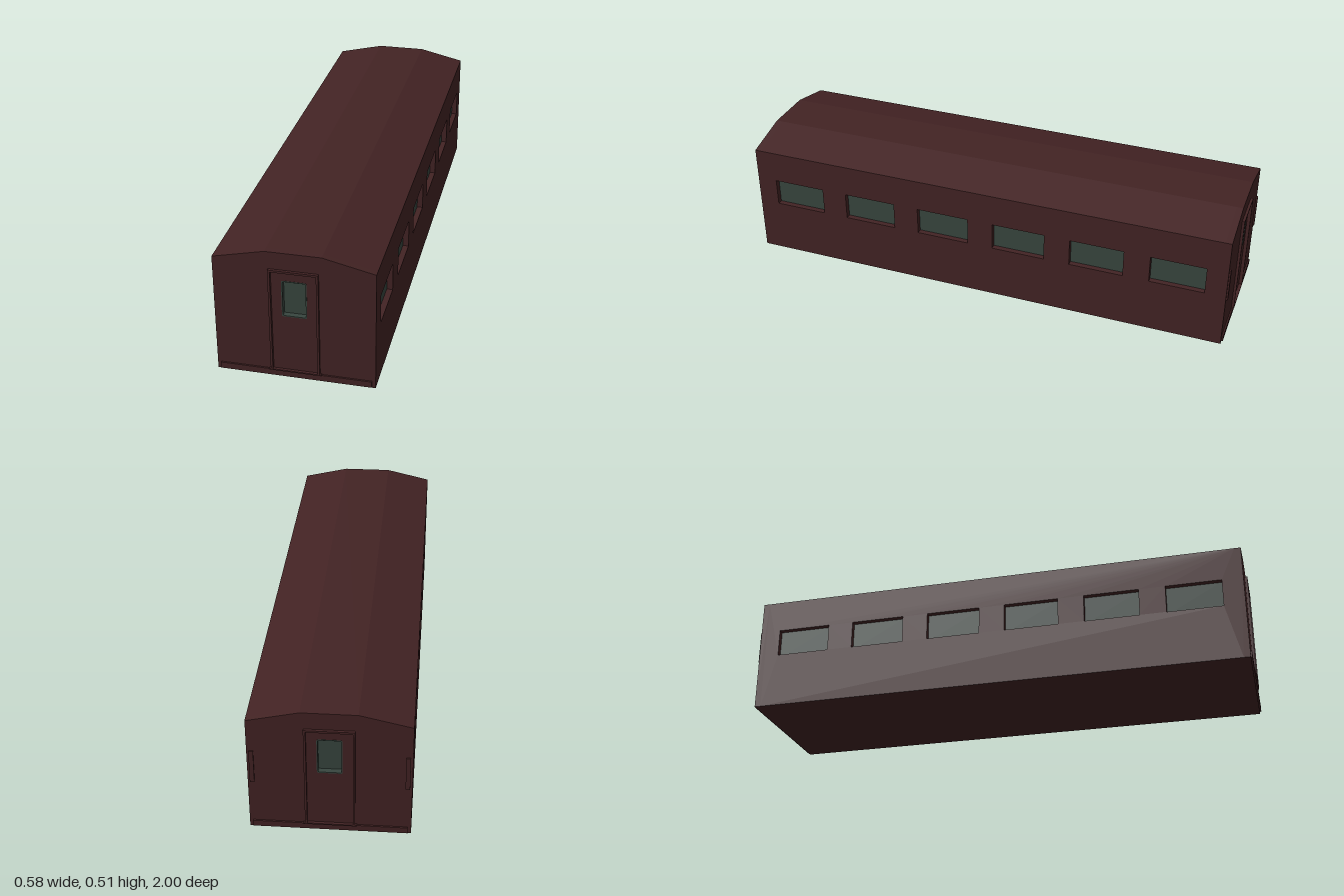
import * as THREE from 'three';

const paint = new THREE.MeshStandardMaterial({ name: 'maroon paint', color: 0x432324 });
const glass = new THREE.MeshStandardMaterial({ name: 'green glass', color: 0x38463f });

const W = 0.288, EAVE = 0.463, TOP = 0.506, L = 0.99, T = 0.025;

function mesh(name, geometry, material, parent, x = 0, y = 0, z = 0) {
  const m = new THREE.Mesh(geometry, material);
  m.name = name;
  m.position.set(x, y, z);
  parent.add(m);
  return m;
}

function polygon(points) {
  return new THREE.Shape(points.map(([x, y]) => new THREE.Vector2(x, y)));
}

function rect(x0, y0, x1, y1) {
  return polygon([[x0, y0], [x1, y0], [x1, y1], [x0, y1]]);
}

function roundRect(w, y0, y1, r) {
  const s = new THREE.Shape();
  s.moveTo(-w + r, y0);
  s.lineTo(w - r, y0).quadraticCurveTo(w, y0, w, y0 + r);
  s.lineTo(w, y1 - r).quadraticCurveTo(w, y1, w - r, y1);
  s.lineTo(-w + r, y1).quadraticCurveTo(-w, y1, -w, y1 - r);
  s.lineTo(-w, y0 + r).quadraticCurveTo(-w, y0, -w + r, y0);
  return s;
}

function extrude(shape, depth, holes = []) {
  shape.holes.push(...holes);
  return new THREE.ExtrudeGeometry(shape, { depth, bevelEnabled: false, curveSegments: 4 });
}

// Long wall with six recessed windows
function sideWall(side) {
  const g = new THREE.Group();
  g.name = side > 0 ? 'leftSide' : 'rightSide';
  const centres = [-0.8, -0.48, -0.16, 0.16, 0.48, 0.8];
  const holes = centres.map(c => rect(c - 0.108, 0.222, c + 0.108, 0.333));
  const wall = mesh('sideWall', extrude(rect(-L + T, 0, L - T, EAVE), T, holes), paint, g, -T);
  wall.rotation.y = Math.PI / 2;
  for (const c of centres) {
    mesh('sideWindow', new THREE.BoxGeometry(0.006, 0.125, 0.23), glass, g, -T, 0.2775, c);
  }
  g.position.x = side * W;
  if (side < 0) g.rotation.y = Math.PI;
  return g;
}

// End wall with door, door frame, sill and lower beam
function endWall(name) {
  const g = new THREE.Group();
  g.name = name;
  const profile = polygon([[-W, 0], [W, 0], [W, EAVE], [0.1, TOP], [-0.1, TOP], [-W, EAVE]]);
  mesh('endPanel', extrude(profile, T, [rect(-0.081, 0.03, 0.081, 0.432)]), paint, g, 0, 0, L - T);

  mesh('door', extrude(rect(-0.081, 0.03, 0.081, 0.432), T, [roundRect(0.045, 0.252, 0.396, 0.008)]),
    paint, g, 0, 0, L - T - 0.003);
  mesh('doorWindowRim', extrude(roundRect(0.045, 0.252, 0.396, 0.008), T + 0.001,
    [roundRect(0.041, 0.256, 0.392, 0.006)]), glass, g, 0, 0, L - T - 0.003);
  mesh('doorWindow', new THREE.BoxGeometry(0.086, 0.14, 0.005), glass, g, 0, 0.324, L - T);

  mesh('doorFrame', extrude(rect(-0.089, 0.03, 0.089, 0.44), 0.01,
    [rect(-0.081, 0.029, 0.081, 0.432)].map(() => rect(-0.081, 0.0305, 0.081, 0.432))), paint, g, 0, 0, L);
  mesh('doorSill', new THREE.BoxGeometry(0.19, 0.005, 0.01), paint, g, 0, 0.0295, L + 0.005);
  mesh('endBeam', new THREE.BoxGeometry(0.55, 0.024, 0.006), paint, g, 0, 0.016, L + 0.003);
  return g;
}

export function createModel() {
  const model = new THREE.Group();
  model.name = 'railwayCarriage';

  model.add(sideWall(1), sideWall(-1));
  const front = endWall('frontEnd');
  const back = endWall('backEnd');
  back.rotation.y = Math.PI;
  model.add(front, back);

  // Grab handles on the back corners only
  for (const s of [-1, 1]) {
    mesh('grabHandle', new THREE.BoxGeometry(0.016, 0.134, 0.006), paint, back, s * 0.272, 0.27, L + 0.003);
  }

  // Three-facet roof and flat floor
  const roof = polygon([[-W, EAVE], [W, EAVE], [0.1, TOP], [-0.1, TOP]]);
  mesh('roof', extrude(roof, 2 * (L - T)), paint, model, 0, 0, -L + T);
  mesh('floor', new THREE.BoxGeometry(2 * (W - T), 0.025, 2 * (L - T)), paint, model, 0, 0.0125, 0);
  return model;
}
